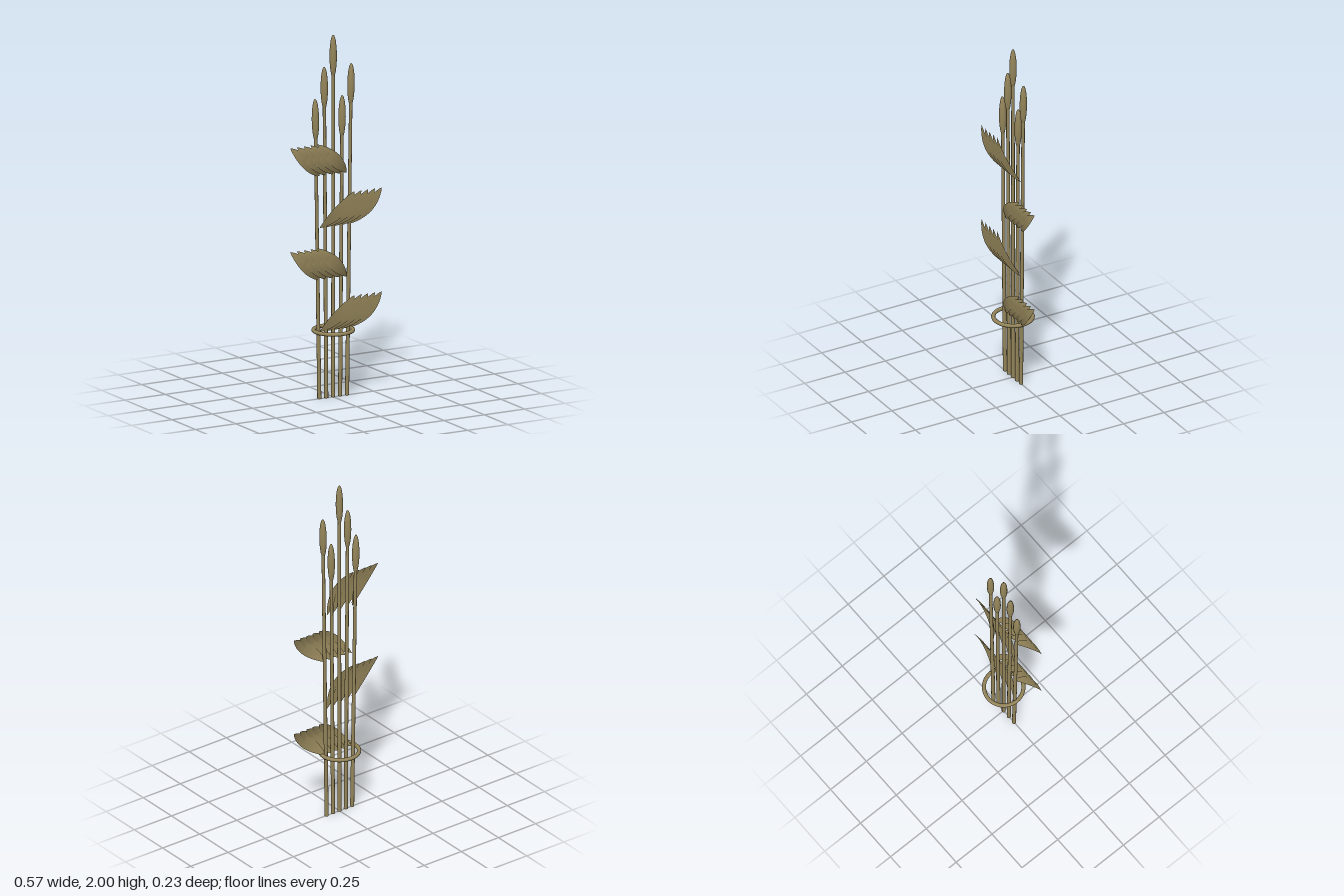
import * as THREE from 'three';

const bronze = new THREE.MeshStandardMaterial({ color: 0x94855a });
bronze.name = 'bronze';
bronze.side = THREE.DoubleSide;

const HEAD_HALF = 0.118;

// Curved blade: a lens outline swept up and sideways, bowed toward the front
function leafGeometry(side) {
  const dx = 0.2 * side, dy = 0.186, len = Math.hypot(dx, dy);
  const nx = -dy / len, ny = dx / len;
  const geo = new THREE.PlaneGeometry(1, 1, 6, 16);
  const pos = geo.attributes.position;
  for (let i = 0; i < pos.count; i++) {
    const t = pos.getY(i) + 0.5;
    const w = pos.getX(i) * 2 * 0.036 * Math.pow(Math.max(0, Math.sin(Math.PI * t)), 0.8);
    pos.setXYZ(i, dx * t - nx * w, dy * t - ny * w, 0.15 * t - 0.12 * t * t);
  }
  geo.computeVertexNormals();
  return geo;
}

function add(parent, name, geometry) {
  const mesh = new THREE.Mesh(geometry, bronze);
  mesh.name = name;
  parent.add(mesh);
  return mesh;
}

export function createModel() {
  const model = new THREE.Group();
  model.name = 'reedBundle';

  // Slightly fanned stems, each with a slender seed head
  const tops = [1.66, 1.83, 2, 1.66, 1.83];
  const headGeo = new THREE.SphereGeometry(1, 16, 12);
  tops.forEach((top, i) => {
    const k = i - 2;
    const base = new THREE.Vector3(k * 0.043, 0, 0);
    const tip = new THREE.Vector3(k * 0.056, top, 0);
    const length = base.distanceTo(tip);
    const reed = new THREE.Group();
    reed.name = 'reed' + (i + 1);
    reed.position.copy(base);
    reed.rotation.z = -Math.atan2(tip.x - base.x, top);

    const stemLength = length - HEAD_HALF;
    const stem = add(reed, 'stem', new THREE.CylinderGeometry(0.009, 0.011, stemLength, 12));
    stem.position.y = stemLength / 2;
    const head = add(reed, 'seedHead', headGeo);
    head.scale.set(0.02, HEAD_HALF, 0.02);
    head.position.y = length - HEAD_HALF;
    model.add(reed);
  });

  // Four tiers of overlapping leaves, alternating sides
  const leafGeos = { 1: leafGeometry(1), '-1': leafGeometry(-1) };
  for (let tier = 0; tier < 4; tier++) {
    const side = tier % 2 === 0 ? 1 : -1;
    const group = new THREE.Group();
    group.name = 'leafTier' + (tier + 1);
    for (let k = -2; k <= 2; k++) {
      add(group, 'leaf', leafGeos[side]).position.x = k * 0.042;
    }
    group.position.y = 0.368 + tier * 0.287;
    model.add(group);
  }

  // Binding ring
  const ring = add(model, 'bindingRing', new THREE.TorusGeometry(0.106, 0.011, 12, 40));
  ring.rotation.x = Math.PI / 2;
  ring.position.y = 0.37;

  return model;
}
